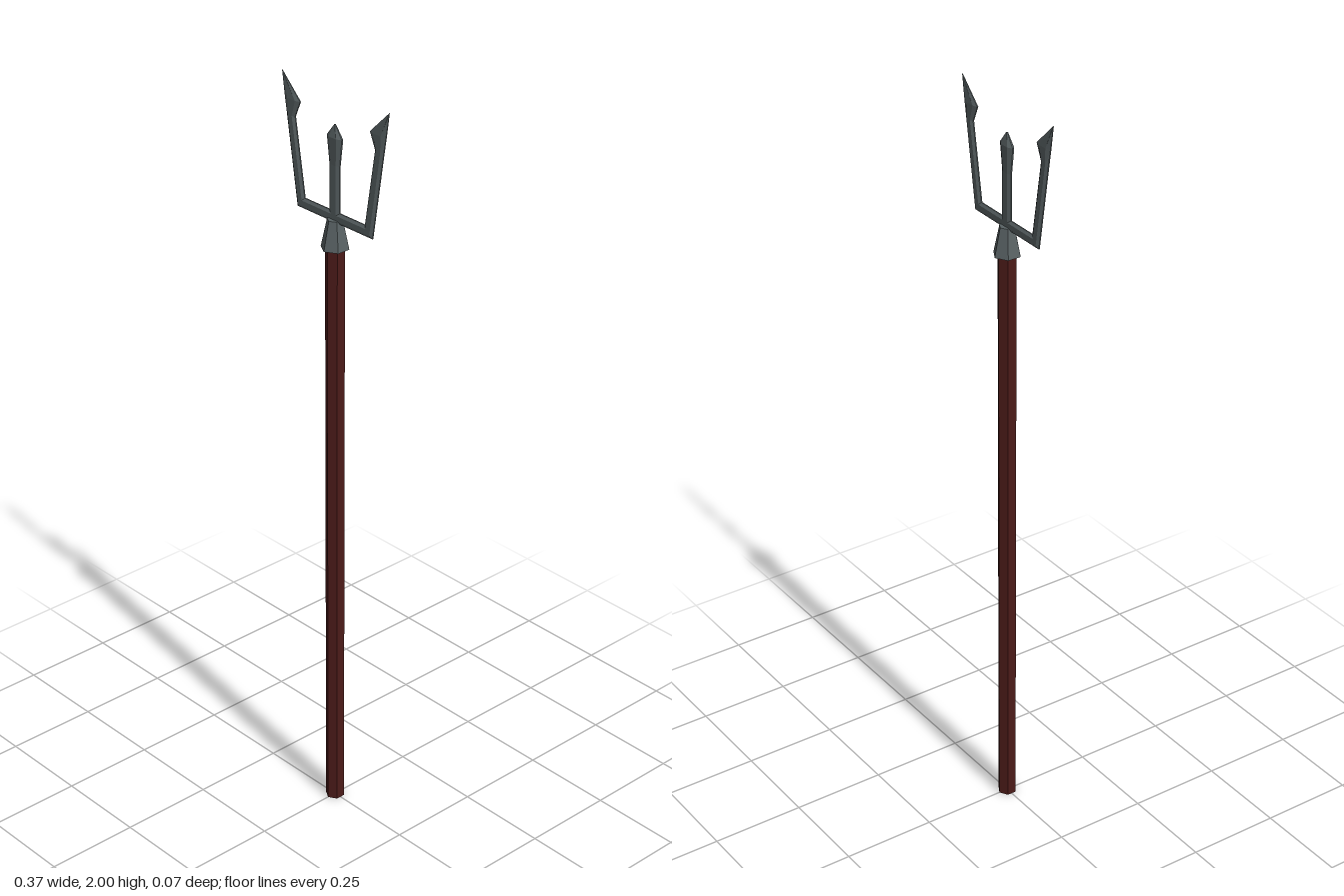
import * as THREE from 'three';

const metal = new THREE.MeshStandardMaterial({ color: 0x596264, flatShading: true });
const wood = new THREE.MeshStandardMaterial({ color: 0x4c1b19, flatShading: true });

// Chamfered blade through rings [outerX, outerY, innerX, innerY, halfDepth]
function blade(rings) {
  const pos = [], index = [], n = 8;
  for (const [ox, oy, ix, iy, d] of rings) {
    const e = d * 0.25;
    const section = [[0, e], [0.25, d], [0.75, d], [1, e], [1, -e], [0.75, -d], [0.25, -d], [0, -e]];
    for (const [t, z] of section) pos.push(ox + (ix - ox) * t, oy + (iy - oy) * t, z);
  }
  for (let r = 0; r < rings.length - 1; r++) {
    for (let k = 0; k < n; k++) {
      const a = r * n + k, b = r * n + (k + 1) % n;
      index.push(a, a + n, b, b, a + n, b + n);
    }
  }
  // end caps
  const last = (rings.length - 1) * n;
  for (let k = 1; k < n - 1; k++) {
    index.push(0, k, k + 1);
    index.push(last, last + k + 1, last + k);
  }
  const g = new THREE.BufferGeometry();
  g.setAttribute('position', new THREE.Float32BufferAttribute(pos, 3));
  g.setIndex(index);
  g.computeVertexNormals();
  return g;
}

export function createModel() {
  const group = new THREE.Group();
  const add = (name, geometry, material, y = 0) => {
    const mesh = new THREE.Mesh(geometry, material);
    mesh.name = name;
    mesh.position.y = y;
    group.add(mesh);
  };

  // Hexagonal wooden shaft and tapered metal collar
  add('shaft', new THREE.CylinderGeometry(0.025, 0.025, 1.6, 6), wood, 0.8);
  add('collar', new THREE.CylinderGeometry(0.02, 0.036, 0.075, 6), metal, 1.6375);

  // Outer prongs and crossbar: tip, barb, neck, corner, then mirrored
  const left = [
    [-0.185, 2, -0.183, 1.998, 0.001],
    [-0.175, 1.937, -0.121, 1.937, 0.006],
    [-0.168, 1.895, -0.139, 1.895, 0.006],
    [-0.132, 1.667, -0.106, 1.695, 0.006],
  ];
  const right = left.map(([ox, oy, ix, iy, d]) => [-ox, oy, -ix, iy, d]).reverse();
  add('outerProngs', blade([...left, ...right]), metal);

  // Centre prong with its thicker spear head: [y, halfWidth, halfDepth]
  const centre = [
    [1.917, 0.002, 0.002],
    [1.885, 0.026, 0.009],
    [1.815, 0.018, 0.006],
    [1.67, 0.018, 0.006],
  ];
  add('centreProng', blade(centre.map(([y, w, d]) => [-w, y, w, y, d])), metal);

  return group;
}
